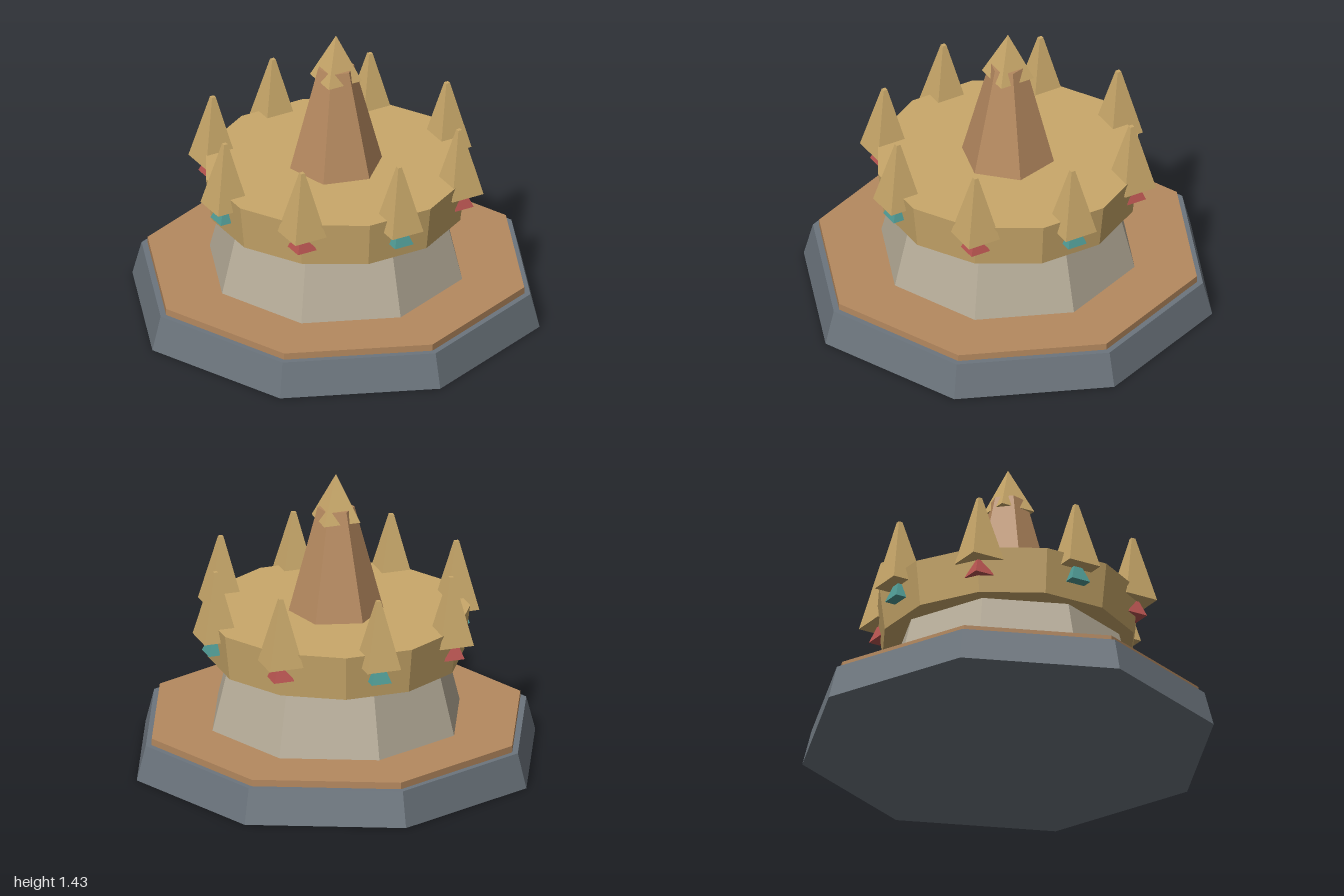
import * as THREE from 'three';

const slate = new THREE.MeshStandardMaterial({ color: 0x6c757d });
slate.name = 'slate';
const copper = new THREE.MeshStandardMaterial({ color: 0xb5895f });
copper.name = 'copper';
const stone = new THREE.MeshStandardMaterial({ color: 0xb8ae9a });
stone.name = 'stone';
const gold = new THREE.MeshStandardMaterial({ color: 0xc9a86a });
gold.name = 'gold';
const red = new THREE.MeshStandardMaterial({ color: 0xb85450 });
red.name = 'red gem';
const teal = new THREE.MeshStandardMaterial({ color: 0x4f9a94 });
teal.name = 'teal gem';

// Faceted frustum standing between two heights, first corner towards +z
function frustum(name, material, sides, rBottom, rTop, y0, y1) {
  const geometry = new THREE.CylinderGeometry(rTop, rBottom, y1 - y0, sides).toNonIndexed();
  geometry.computeVertexNormals();
  geometry.translate(0, (y0 + y1) / 2, 0);
  const mesh = new THREE.Mesh(geometry, material);
  mesh.name = name;
  return mesh;
}

export function createModel() {
  const model = new THREE.Group();
  model.name = 'crownMonument';

  // Stepped octagonal base and pedestal
  model.add(
    frustum('base', slate, 8, 1, 0.955, 0, 0.17),
    frustum('basePlate', copper, 8, 0.925, 0.925, 0.17, 0.203),
    frustum('pedestal', stone, 8, 0.62, 0.54, 0.203, 0.52),
  );

  // Flared crown band
  model.add(frustum('crownBand', gold, 12, 0.61, 0.637, 0.52, 0.742));

  // Ring of spikes, each with a gem beneath, all square to the axes
  for (let i = 0; i < 8; i++) {
    const angle = (i * Math.PI) / 4;
    const point = new THREE.Group();
    point.name = 'crownPoint';
    point.position.set(0.605 * Math.sin(angle), 0, 0.605 * Math.cos(angle));
    point.add(
      frustum('spike', gold, 4, 0.12, 0.014, 0.678, 1.01),
      frustum('gem', i % 2 ? teal : red, 4, 0.071, 0, 0.602, 0.742),
    );
    model.add(point);
  }

  // Central spire, its corners poking through the cap
  model.add(
    frustum('spire', copper, 6, 0.225, 0.088, 0.742, 1.262),
    frustum('spireCap', gold, 4, 0.128, 0, 1.203, 1.43),
  );

  return model;
}
